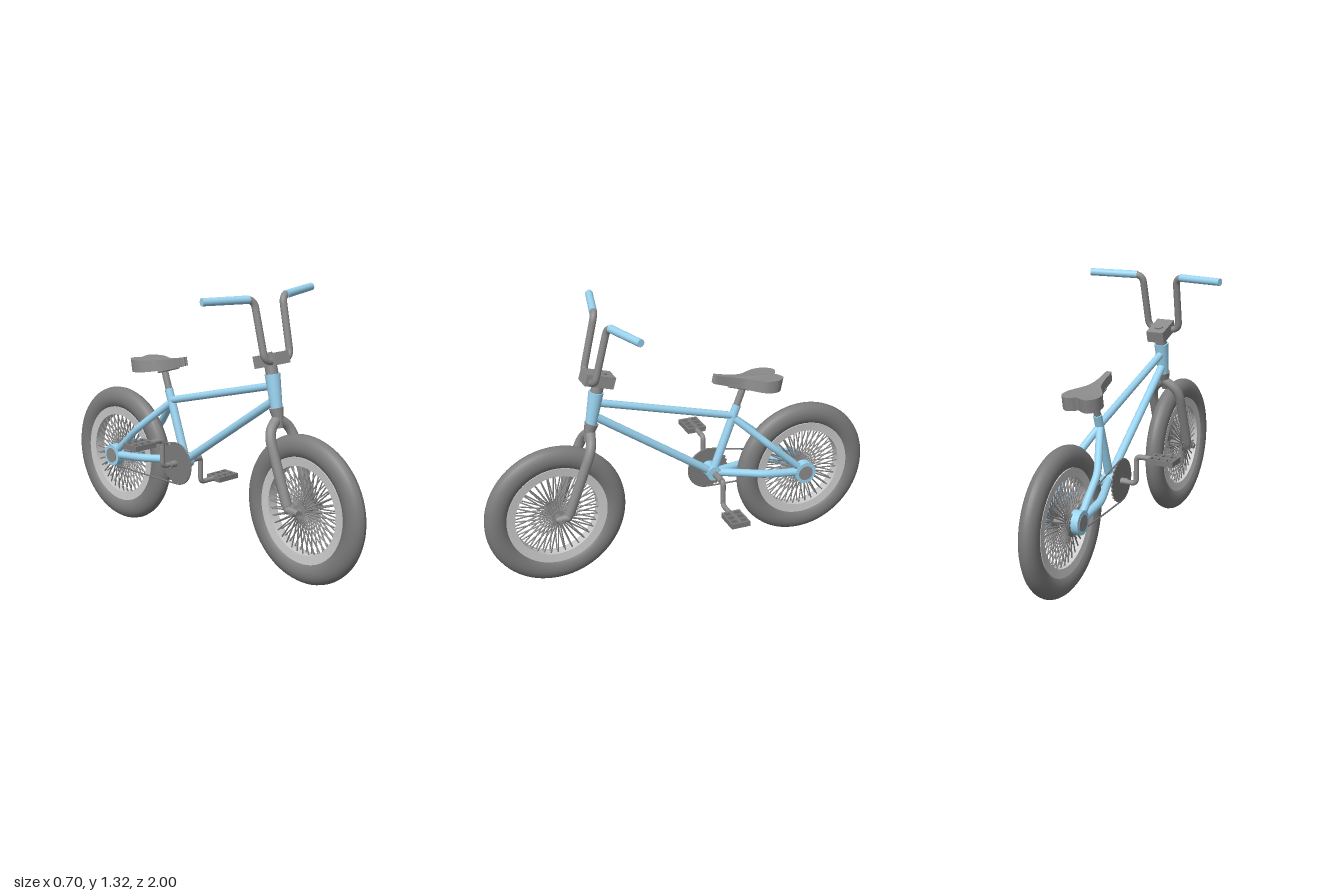
import * as THREE from 'three';

const V = (x, y, z) => new THREE.Vector3(x, y, z);
const paint = (color) => new THREE.MeshStandardMaterial({ color, side: THREE.DoubleSide });
const light = paint(0xcccccc);
const metal = paint(0x8c8c8c);
const rubber = paint(0x7c7c7c);
const blue = paint(0x9bd5f2);

export function createModel() {
  const root = new THREE.Group();
  root.name = 'bicycle';

  const add = (name, geo, mat = metal, parent = root) => {
    const m = new THREE.Mesh(geo, mat);
    m.name = name;
    parent.add(m);
    return m;
  };

  // straight closed tube from a to b, optionally tapered
  const bar = (name, a, b, r, mat = metal, r2 = r, parent = root, sides = 16) => {
    const m = add(name, new THREE.CylinderGeometry(r2, r, a.distanceTo(b), sides), mat, parent);
    m.position.copy(a).add(b).multiplyScalar(0.5);
    m.quaternion.setFromUnitVectors(V(0, 1, 0), b.clone().sub(a).normalize());
    return m;
  };

  // bent tube: straight runs joined by rounded corners
  const bent = (name, pts, r, bend, mat = metal) => {
    const path = new THREE.CurvePath();
    let from = pts[0];
    for (let i = 1; i < pts.length - 1; i++) {
      const p = pts[i];
      const cut = (q) => p.clone().add(q.clone().sub(p).setLength(Math.min(bend, p.distanceTo(q) * 0.49)));
      const a = cut(pts[i - 1]), b = cut(pts[i + 1]);
      path.add(new THREE.LineCurve3(from, a));
      path.add(new THREE.QuadraticBezierCurve3(a, p, b));
      from = b;
    }
    path.add(new THREE.LineCurve3(from, pts[pts.length - 1]));
    return add(name, new THREE.TubeGeometry(path, 60, r, 14), mat);
  };

  // ---------- wheels ----------
  const wheel = (name, z) => {
    const g = new THREE.Group();
    g.name = name;
    g.position.set(0, 0.35, z);
    root.add(g);

    const tyre = [];
    for (let i = 0; i <= 20; i++) {
      const a = (i / 20) * Math.PI * 2;
      tyre.push(new THREE.Vector2(0.294 + 0.056 * Math.cos(a), 0.044 * Math.sin(a)));
    }
    add('tyre', new THREE.LatheGeometry(tyre, 72).rotateZ(Math.PI / 2), rubber, g);

    const rim = [[0.208, -0.028], [0.25, -0.032], [0.25, 0.032], [0.208, 0.028], [0.208, -0.028]]
      .map(([r, y]) => new THREE.Vector2(r, y));
    for (let i = 0; i < 4; i++) {
      add('rim', new THREE.LatheGeometry([rim[i], rim[i + 1]], 72).rotateZ(Math.PI / 2), light, g);
    }

    bar('hub', V(-0.05, 0, 0), V(0.05, 0, 0), 0.018, metal, 0.018, g);
    for (const s of [-1, 1]) {
      bar('hubFlange', V(s * 0.034, 0, 0), V(s * 0.042, 0, 0), 0.034, metal, 0.034, g, 24);
      for (let i = 0; i < 36; i++) {
        const a = (i / 36) * Math.PI * 2;
        const y = Math.cos(a), d = Math.sin(a);
        bar('spoke', V(s * 0.038, 0.028 * y, 0.028 * d), V(s * 0.01, 0.212 * y, 0.212 * d),
          0.0035, metal, 0.0035, g, 6);
      }
    }
    bar('axle', V(-0.1, 0, 0), V(0.1, 0, 0), 0.012, metal, 0.012, g);
  };
  wheel('frontWheel', 0.65);
  wheel('rearWheel', -0.65);

  // ---------- frame ----------
  const seatJoint = V(0, 0.7, -0.27), crankCentre = V(0, 0.41, -0.165);
  bar('headTube', V(0, 0.785, 0.46), V(0, 0.945, 0.43), 0.027, blue, 0.036, root, 24);
  bar('topTube', V(0, 0.89, 0.43), seatJoint, 0.018, blue);
  bar('downTube', V(0, 0.825, 0.445), crankCentre, 0.02, blue);
  bar('seatTube', crankCentre, V(0, 0.755, -0.291), 0.021, blue);
  bar('crankShell', V(-0.055, 0.41, -0.165), V(0.025, 0.41, -0.165), 0.037, blue, 0.037, root, 24);
  for (const s of [-1, 1]) {
    bent('seatStay', [V(0, 0.695, -0.265), V(s * 0.08, 0.53, -0.45), V(s * 0.081, 0.365, -0.63)], 0.018, 0.04, blue);
    bent('chainStay', [V(0, 0.41, -0.17), V(s * 0.08, 0.385, -0.42), V(s * 0.081, 0.36, -0.63)], 0.02, 0.04, blue);
    bar('rearDropout', V(s * 0.056, 0.357, -0.635), V(s * 0.1, 0.357, -0.635), 0.056, blue, 0.056, root, 28);
    bar('axleCap', V(s * 0.09, 0.357, -0.635), V(s * 0.103, 0.357, -0.635), 0.038, metal, 0.038, root, 24);
  }

  // ---------- fork ----------
  bar('forkCrown', V(0, 0.7, 0.482), V(0, 0.79, 0.457), 0.016, metal, 0.034);
  for (const s of [-1, 1]) {
    bent('forkBlade', [V(0, 0.745, 0.465), V(s * 0.076, 0.69, 0.485), V(s * 0.076, 0.375, 0.605)], 0.024, 0.07);
    bar('forkTip', V(s * 0.076, 0.39, 0.598), V(s * 0.076, 0.347, 0.615), 0.024, metal, 0.017);
    bar('forkDropout', V(s * 0.076, 0.358, 0.61), V(s * 0.076, 0.354, 0.675), 0.022, metal, 0.013);
    bar('axleNut', V(s * 0.064, 0.35, 0.65), V(s * 0.098, 0.35, 0.65), 0.014, metal, 0.014, root, 6);
  }

  // ---------- stem and handlebar ----------
  bar('steerer', V(0, 0.93, 0.432), V(0, 0.99, 0.416), 0.029);
  const stem = add('stem', new THREE.BoxGeometry(0.09, 0.057, 0.145));
  stem.position.set(0, 1.01, 0.422);
  stem.rotation.x = -0.28;
  bar('stemCap', V(0, 1.025, 0.4), V(0, 1.039, 0.396), 0.022);
  for (const s of [-1, 1]) {
    bent('handlebar', [V(0, 1.01, 0.465), V(s * 0.082, 1.017, 0.462), V(s * 0.091, 1.292, 0.398),
      V(s * 0.2, 1.295, 0.371)], 0.017, 0.04);
    bar('grip', V(s * 0.118, 1.293, 0.393), V(s * 0.348, 1.299, 0.335), 0.019, blue, 0.018);
  }

  // ---------- saddle ----------
  const half = [[0.014, 0.005], [0.018, 0.08], [0.032, 0.15], [0.065, 0.205], [0.089, 0.255],
    [0.087, 0.31], [0.057, 0.345], [0.025, 0.34]];
  const right = half.map(([x, y]) => new THREE.Vector2(x, y));
  const left = half.map(([x, y]) => new THREE.Vector2(-x, y)).reverse();
  const outline = new THREE.Shape();
  outline.moveTo(0, 0);
  outline.splineThru([...right, new THREE.Vector2(0, 0.325), ...left, new THREE.Vector2(0, 0)]);
  const seatGeo = new THREE.ExtrudeGeometry(outline, { depth: 1, bevelEnabled: false, curveSegments: 60 });
  // thicker toward the rear, with a slight dip along the middle
  const p = seatGeo.attributes.position;
  for (let i = 0; i < p.count; i++) {
    const t = p.getY(i) / 0.34;
    p.setZ(i, p.getZ(i) * (0.042 + 0.024 * t) - 0.012 * Math.sin(Math.PI * t) - 0.003 * t);
  }
  seatGeo.rotateX(-Math.PI / 2);
  seatGeo.computeVertexNormals();
  const seat = add('saddle', seatGeo);
  seat.position.set(0, 0.892, -0.16);
  seat.rotation.x = -0.2;
  bar('seatPost', V(0, 0.73, -0.281), V(0, 0.86, -0.328), 0.017);
  for (const s of [-1, 1]) {
    bar('saddleRail', V(s * 0.016, 0.868, -0.235), V(s * 0.016, 0.832, -0.35), 0.006);
  }

  // ---------- sprocket and chain ----------
  const cog = (name, r, teeth, z, y) => {
    const s = new THREE.Shape();
    for (let i = 0; i < teeth * 4; i++) {
      const a = (i / (teeth * 4)) * Math.PI * 2, q = i % 4 < 2 ? r : r * 0.94;
      s[i ? 'lineTo' : 'moveTo'](q * Math.cos(a), q * Math.sin(a));
    }
    const g = new THREE.ExtrudeGeometry(s, { depth: 0.007, bevelEnabled: false });
    add(name, g.rotateY(Math.PI / 2), rubber).position.set(-0.0645, y, z);
  };
  cog('sprocket', 0.106, 28, -0.165, 0.405);
  cog('rearCog', 0.052, 14, -0.65, 0.35);

  const chain = [];
  for (let i = 0; i <= 14; i++) {
    const a = -Math.PI / 2 + (i / 14) * Math.PI;
    chain.push(V(-0.061, 0.405 + 0.104 * Math.sin(a), -0.165 + 0.104 * Math.cos(a)));
  }
  for (let i = 0; i <= 8; i++) {
    const a = Math.PI / 2 + (i / 8) * Math.PI;
    chain.push(V(-0.061, 0.35 + 0.054 * Math.sin(a), -0.65 + 0.054 * Math.cos(a)));
  }
  add('chain', new THREE.TubeGeometry(new THREE.CatmullRomCurve3(chain, true), 140, 0.004, 6, true), rubber);

  // ---------- cranks and pedals ----------
  bar('crankAxle', V(-0.1, 0.405, -0.17), V(0.1, 0.405, -0.17), 0.016);
  const z = -0.175;
  const crank = (s, armX, endY, x0, x1) => {
    bent('crankArm', [V(s * 0.05, 0.405, z), V(s * armX, 0.405, z), V(s * armX, endY, z),
      V(s * x0, endY, z)], 0.0125, 0.025);
    const pedal = new THREE.Group();
    pedal.name = 'pedal';
    pedal.position.set(s * (x0 + x1) / 2, endY, z);
    root.add(pedal);
    const w = x1 - x0;
    const box = (name, sx, sz, x, pz) =>
      add(name, new THREE.BoxGeometry(sx, 0.026, sz), rubber, pedal).position.set(x, 0, pz);
    box('pedalSpindle', w, 0.02, 0, 0);
    for (const e of [-1, 1]) {
      box('pedalEndPlate', 0.012, 0.096, e * (w / 2 - 0.006), 0);
      box('pedalRib', 0.01, 0.096, e * w * 0.16, 0);
      box('pedalRail', w, 0.008, 0, e * 0.044);
    }
  };
  crank(1, 0.108, 0.273, 0.195, 0.323);
  crank(-1, 0.145, 0.539, 0.222, 0.35);

  return root;
}
